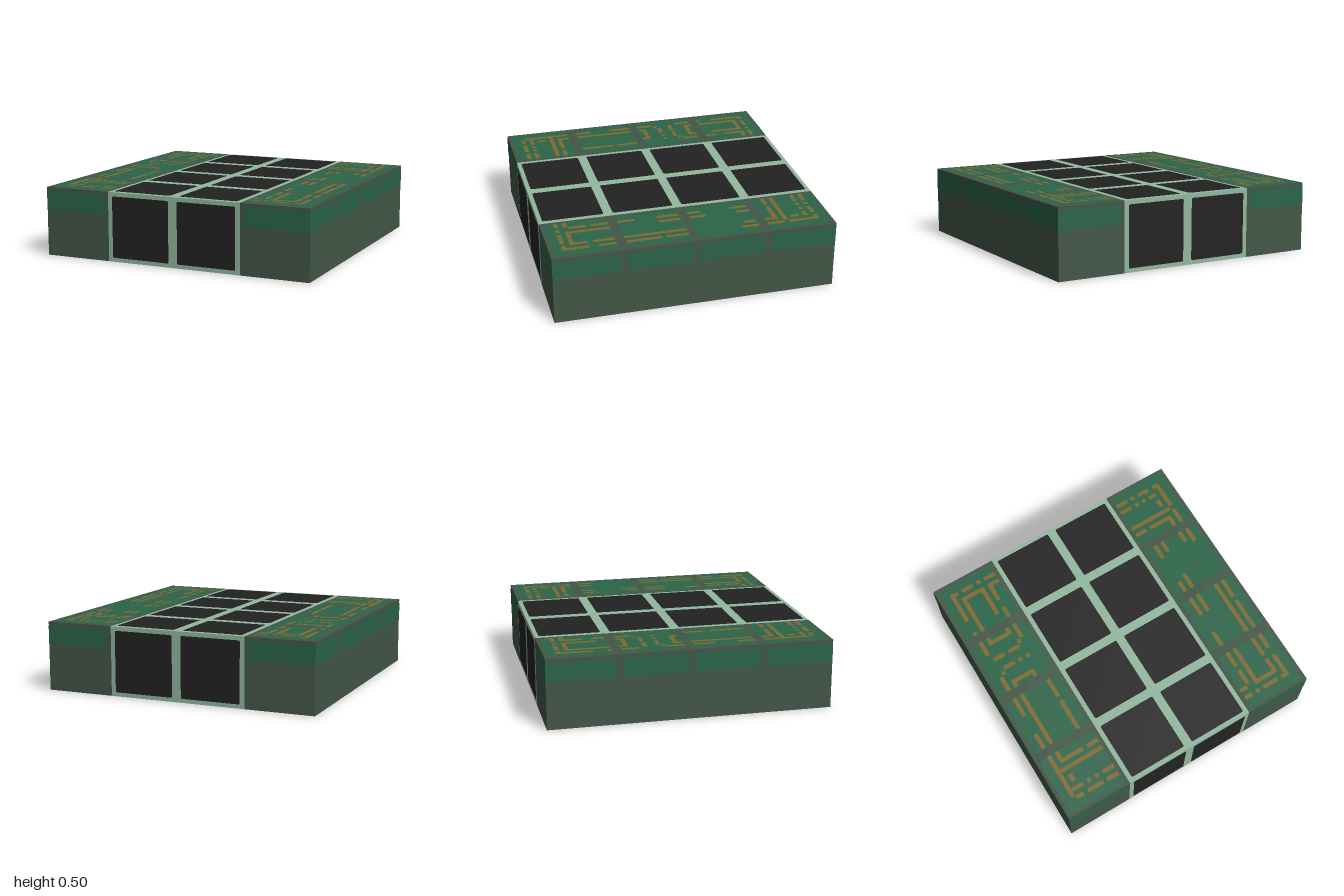
import * as THREE from 'three';
import { mergeGeometries } from 'three/addons/utils/BufferGeometryUtils.js';

const P = 1 / 32; // grid step of the circuit pattern
const GAP = 0.002; // height of each painted layer

// Copper traces as [row, firstCol, lastCol] and [col, firstRow, lastRow]
const LEFT_ROWS = [
  [3, 3, 4], [3, 6, 8], [3, 10, 10], [3, 12, 14], [5, 5, 10], [5, 12, 14],
  [18, 5, 10], [21, 11, 11], [22, 4, 6], [22, 8, 8], [22, 9, 10],
  [25, 5, 7], [25, 9, 9], [25, 11, 11], [29, 5, 10], [51, 5, 10], [51, 12, 14],
  [53, 3, 14], [58, 4, 6], [58, 8, 8], [58, 10, 10], [58, 12, 14],
  [60, 4, 5], [60, 7, 10], [60, 12, 14],
];
const LEFT_COLS = [
  [3, 3, 10], [3, 14, 14], [3, 17, 20], [3, 27, 30], [3, 33, 37], [3, 43, 46], [3, 49, 59],
  [4, 26, 26], [5, 5, 14], [5, 17, 18], [5, 29, 30], [5, 33, 46], [5, 49, 51], [5, 55, 56],
  [10, 5, 12], [10, 17, 18], [10, 29, 30],
  [12, 5, 9], [12, 12, 14], [12, 17, 20], [12, 33, 37], [12, 39, 46],
];
const RIGHT_ROWS = [
  [3, 1, 3], [3, 5, 5], [3, 7, 9], [3, 11, 12], [5, 1, 3], [5, 5, 5], [5, 7, 7], [5, 9, 10],
  [10, 1, 11], [12, 1, 3], [12, 5, 10],
  [58, 1, 2], [58, 5, 10], [60, 1, 2], [60, 4, 4], [60, 6, 9], [60, 11, 12],
];
const RIGHT_COLS = [
  [3, 17, 20], [3, 28, 30], [3, 33, 37], [3, 43, 46], [3, 49, 52], [3, 54, 57],
  [5, 17, 19], [5, 27, 30], [5, 33, 37], [5, 49, 58],
  [10, 7, 8], [10, 12, 14], [10, 17, 19], [10, 33, 46], [10, 49, 53], [10, 55, 58],
  [12, 3, 9], [12, 11, 14], [12, 17, 20], [12, 33, 37], [12, 39, 46], [12, 49, 52], [12, 55, 60],
];

// Flat rectangle with rounded corners, centred on (x, y) and facing +z
function roundedRect(x, y, w, h, r) {
  const s = new THREE.Shape();
  const a = x - w / 2, b = x + w / 2, c = y - h / 2, d = y + h / 2;
  s.moveTo(a + r, c).lineTo(b - r, c).quadraticCurveTo(b, c, b, c + r);
  s.lineTo(b, d - r).quadraticCurveTo(b, d, b - r, d);
  s.lineTo(a + r, d).quadraticCurveTo(a, d, a, d - r);
  s.lineTo(a, c + r).quadraticCurveTo(a, c, a + r, c);
  return new THREE.ShapeGeometry(s, 3);
}

export function createModel() {
  const model = new THREE.Group();
  const material = (name, color) => {
    const m = new THREE.MeshStandardMaterial({ color });
    m.name = name;
    return m;
  };
  const casing = material('dark casing', 0x435647);
  const frame = material('pale frame', 0x93b89f);
  const glass = material('black panel', 0x222222);
  const board = material('green board', 0x2a6549);
  const copper = material('copper', 0x806930);

  const add = (name, geometry, mat, parent = model) => {
    const mesh = new THREE.Mesh(geometry, mat);
    mesh.name = name;
    parent.add(mesh);
    return mesh;
  };
  // Group whose local xy plane lies on one face of the block
  const face = (name, position, rx, ry) => {
    const g = new THREE.Group();
    g.name = name;
    g.position.set(...position);
    g.rotation.set(rx, ry, 0);
    model.add(g);
    return g;
  };

  // Body: pale centre section between two dark side casings
  const size = 2 - 4 * GAP, height = 0.5 - 4 * GAP, edge = size / 2;
  const sideWidth = edge - 0.5;
  add('centreFrame', new THREE.BoxGeometry(1, height, size), frame).position.y = 0.25;
  for (const s of [-1, 1]) {
    add(s < 0 ? 'rightCasing' : 'leftCasing', new THREE.BoxGeometry(sideWidth, height, size), casing)
      .position.set(s * (0.5 + sideWidth / 2), 0.25, 0);
  }

  const faces = {
    top: face('topFace', [0, 0.25 + height / 2, 0], -Math.PI / 2, 0),
    bottom: face('bottomFace', [0, 0.25 - height / 2, 0], Math.PI / 2, 0),
    front: face('frontFace', [0, 0.25, edge], 0, 0),
    back: face('backFace', [0, 0.25, -edge], 0, Math.PI),
    left: face('leftFace', [edge, 0.25, 0], 0, Math.PI / 2),
    right: face('rightFace', [-edge, 0.25, 0], 0, -Math.PI / 2),
  };
  const layer = (name, shapes, mat, parent, level = 1) => {
    add(name, mergeGeometries(shapes), mat, parent).position.z = level * GAP;
  };

  // Black square panels on the centre section
  const panels = (ys) => ys.flatMap((y) => [-0.25, 0.25].map((x) => roundedRect(x, y, 0.434, 0.434, 0.012)));
  const cells = [-0.75, -0.25, 0.25, 0.75];
  for (const n of ['top', 'bottom']) layer(n + 'Panels', panels(cells), glass, faces[n]);
  for (const n of ['front', 'back']) layer(n + 'Panels', panels([0]), glass, faces[n]);

  // Green boards on top of both casings
  layer('topBoards', cells.flatMap((y) => [-0.75, 0.75].map((x) => roundedRect(x, y, 14 * P, 14 * P, 0.012))),
    board, faces.top);

  // Green bands around the upper sides
  const band = (a, b) => roundedRect((a + b) / 2, 0.155, b - a, 0.13, 0.002);
  for (const n of ['front', 'back']) {
    layer(n + 'Bands', [band(-edge, -0.53), band(0.53, edge)], board, faces[n]);
  }
  for (const n of ['left', 'right']) {
    layer(n + 'Bands', [band(-edge, -0.53), band(-0.475, -0.025), band(0.025, 0.475), band(0.53, edge)],
      board, faces[n]);
  }

  // Copper traces on the boards
  const traces = (x0, rows, cols) => {
    const box = (c0, c1, r0, r1) =>
      roundedRect(x0 + (c0 + c1 + 1) * P / 2, 1 - (r0 + r1 + 1) * P / 2, (c1 - c0 + 1) * P, (r1 - r0 + 1) * P, 0.009);
    return [...rows.map(([r, a, b]) => box(a, b, r, r)), ...cols.map(([c, a, b]) => box(c, c, a, b))];
  };
  layer('rightTraces', traces(-1, LEFT_ROWS, LEFT_COLS), copper, faces.top, 2);
  layer('leftTraces', traces(0.5, RIGHT_ROWS, RIGHT_COLS), copper, faces.top, 2);

  return model;
}
